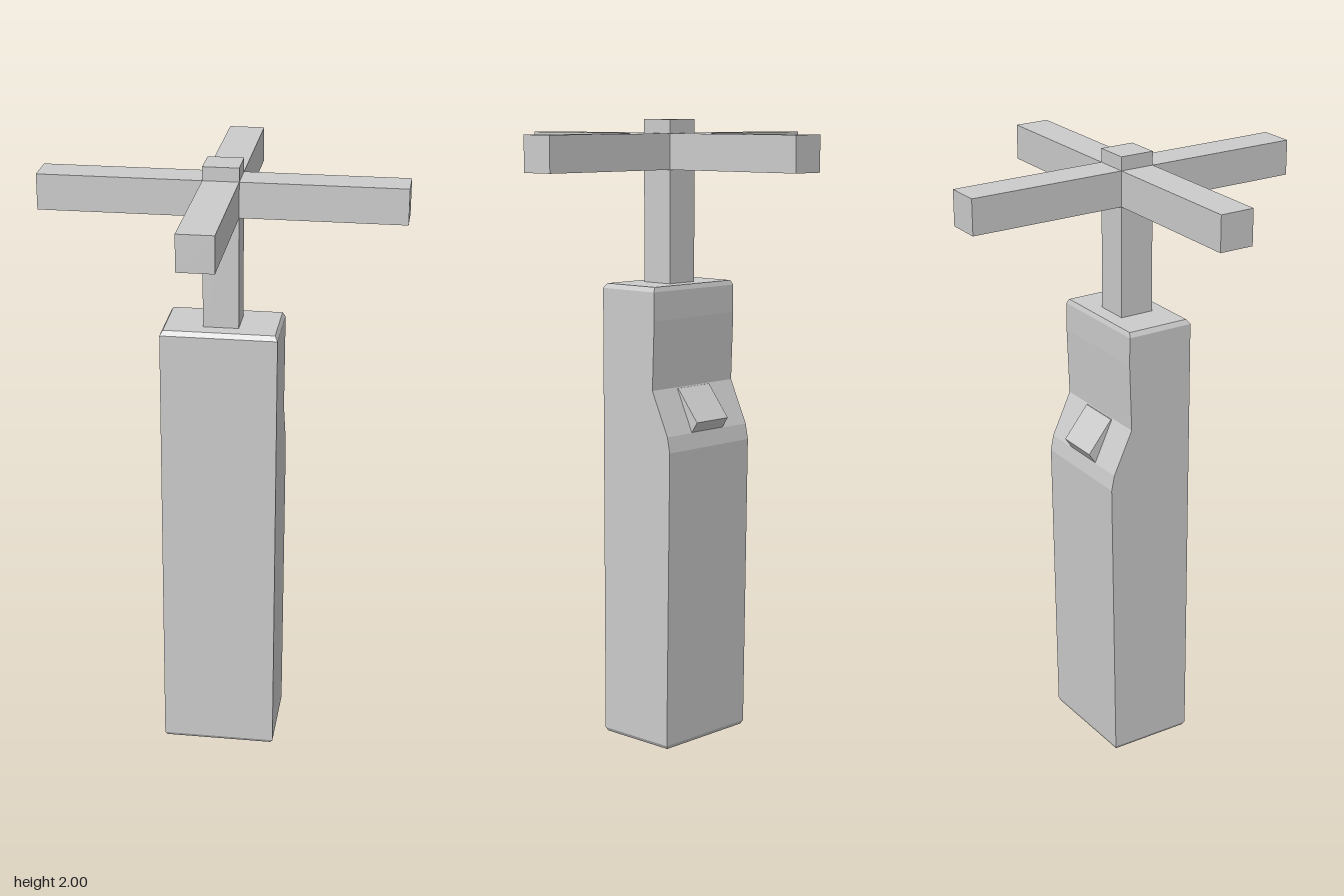
import * as THREE from 'three';

const material = new THREE.MeshStandardMaterial({ color: 0xcccccc, flatShading: true });

function add(group, name, geometry, x = 0, y = 0, z = 0) {
  const mesh = new THREE.Mesh(geometry, material);
  mesh.name = name;
  mesh.position.set(x, y, z);
  group.add(mesh);
  return mesh;
}

// Stack of rectangles, each [y, half width, front z, back z], skinned into a closed solid
function loftRectangles(rows) {
  const positions = [];
  const index = [];
  for (const [y, w, front, back] of rows) {
    positions.push(-w, y, front, w, y, front, w, y, back, -w, y, back);
  }
  for (let r = 0; r < rows.length - 1; r++) {
    for (let i = 0; i < 4; i++) {
      const a = r * 4 + i;
      const b = r * 4 + (i + 1) % 4;
      index.push(a, b, b + 4, a, b + 4, a + 4);
    }
  }
  const t = (rows.length - 1) * 4;
  index.push(0, 2, 1, 0, 3, 2, t, t + 1, t + 2, t, t + 2, t + 3);
  const indexed = new THREE.BufferGeometry();
  indexed.setAttribute('position', new THREE.Float32BufferAttribute(positions, 3));
  indexed.setIndex(index);
  const geometry = indexed.toNonIndexed();
  geometry.computeVertexNormals();
  return geometry;
}

export function createModel() {
  const group = new THREE.Group();
  group.name = 'handheldFan';

  // Handle with chamfered ends and a stepped-in grip at the back
  add(group, 'handle', loftRectangles([
    [0, 0.178, 0.108, -0.16],
    [0.012, 0.185, 0.115, -0.165],
    [0.97, 0.185, 0.115, -0.178],
    [1.02, 0.185, 0.115, -0.168],
    [1.16, 0.185, 0.115, -0.103],
    [1.38, 0.185, 0.115, -0.111],
    [1.47, 0.185, 0.115, -0.11],
    [1.485, 0.176, 0.104, -0.105],
  ]));

  // Wedge button on the sloping back face, profile in (z, y)
  const wedge = new THREE.Shape([
    [-0.09, 1.155], [-0.108, 1.157], [-0.19, 1.055], [-0.165, 1.018], [-0.14, 1.02],
  ].map(([z, y]) => new THREE.Vector2(z, y)));
  const button = new THREE.ExtrudeGeometry(wedge, { depth: 0.145, bevelEnabled: false });
  button.translate(0, 0, -0.0725);
  button.rotateY(-Math.PI / 2);
  add(group, 'button', button);

  // Mast and the two crossed blade bars
  const bar = 0.113;
  add(group, 'mast', new THREE.BoxGeometry(bar, 0.53, bar), 0, 1.735, 0);
  add(group, 'sideBlades', new THREE.BoxGeometry(1.14, bar, bar), 0, 1.9, 0);
  add(group, 'frontBackBlades', new THREE.BoxGeometry(bar, bar, 1.14), 0, 1.9, 0);

  return group;
}
